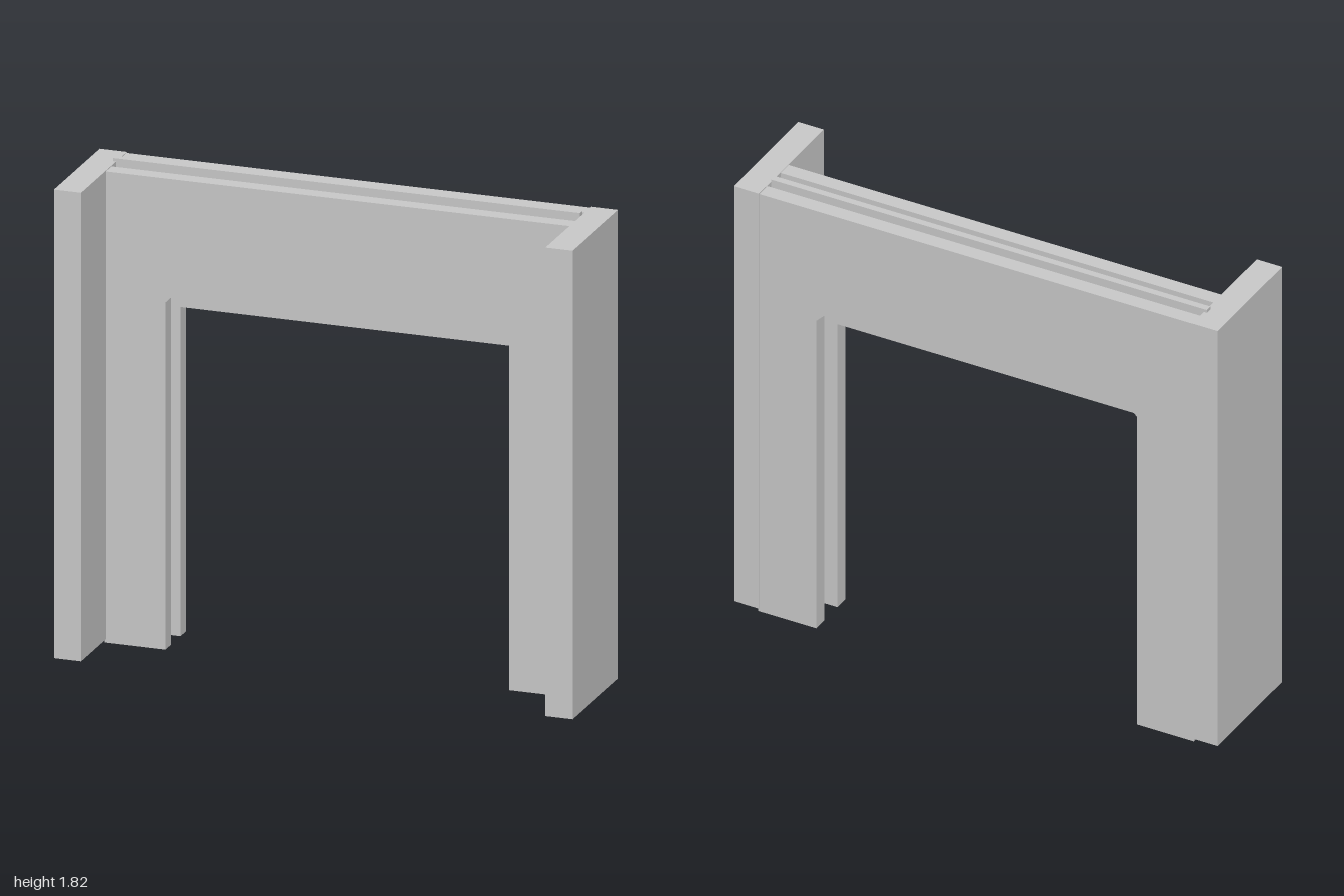
import * as THREE from 'three';

const material = new THREE.MeshStandardMaterial({ color: 0xcccccc, flatShading: true });

function addMesh(group, name, geometry, x, y, z) {
  const mesh = new THREE.Mesh(geometry, material);
  mesh.name = name;
  mesh.position.set(x, y, z);
  group.add(mesh);
}

// Wall outline with a faceted arch opening down to the floor
function archWall(depth) {
  const outline = [
    [-0.9, 0], [-0.665, 0], [-0.665, 1.33], [-0.545, 1.45], [-0.19, 1.57],
    [0.185, 1.57], [0.54, 1.45], [0.66, 1.33], [0.66, 0], [0.9, 0],
    [0.9, 1.805], [-0.9, 1.805],
  ].map(([x, y]) => new THREE.Vector2(x, y));
  return new THREE.ExtrudeGeometry(new THREE.Shape(outline), { depth, bevelEnabled: false });
}

export function createModel() {
  const model = new THREE.Group();
  model.name = 'gateway';

  // Deep pillars at both ends, raised slightly off the floor
  for (const [name, side] of [['leftPillar', 1], ['rightPillar', -1]]) {
    addMesh(model, name, new THREE.BoxGeometry(0.105, 1.795, 0.486), side * 0.9475, 0.9105, 0);
  }

  // Two parallel arched walls with a slot between them
  const wall = archWall(0.06);
  addMesh(model, 'frontArchWall', wall, 0, 0, -0.08);
  addMesh(model, 'backArchWall', wall, 0, 0, -0.24);

  // Raised sliding gate held in the slot
  addMesh(model, 'slidingGate', new THREE.BoxGeometry(1.8, 0.54, 0.027), -0.007, 1.55, -0.142);

  return model;
}
